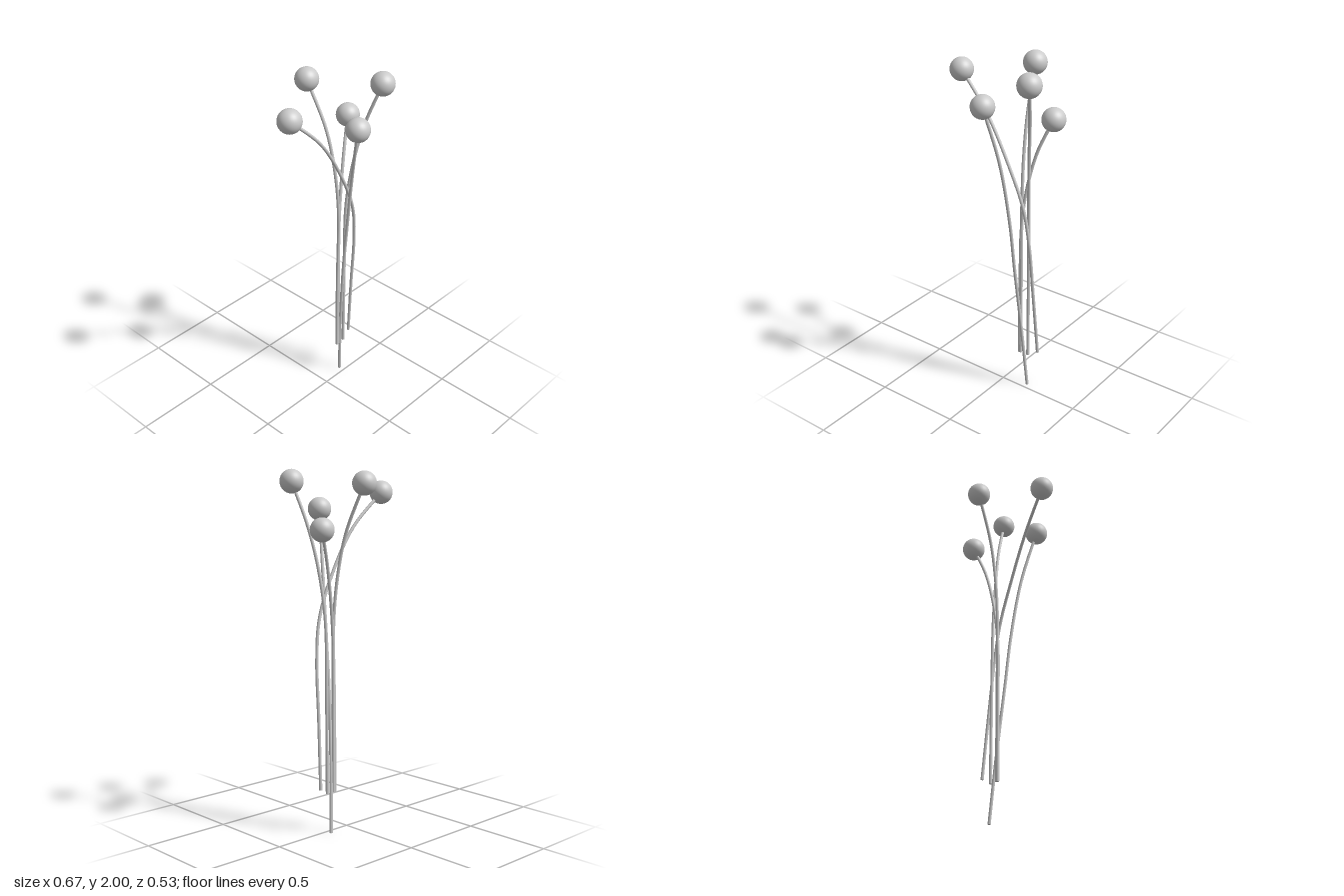
import * as THREE from 'three';

// Each stem runs from its foot through a few points to the centre of its berry
const STEMS = {
  left: [[0.165, 0.23, -0.018], [0.165, 0.8, -0.015], [0.166, 1.2, -0.008], [0.187, 1.48, 0.024], [0.222, 1.71, 0.07], [0.268, 1.94, 0.143]],
  lowerLeft: [[0.106, 0.23, -0.015], [0.107, 0.7, -0.015], [0.114, 1.05, -0.014], [0.137, 1.27, -0.024], [0.187, 1.5, -0.048], [0.26, 1.69, -0.088]],
  back: [[0.115, 0.23, -0.015], [0.115, 0.8, -0.015], [0.113, 1.2, -0.018], [0.104, 1.45, -0.042], [0.09, 1.67, -0.09], [0.06, 1.93, -0.198]],
  front: [[0.152, 0.004, -0.034], [0.126, 0.4, -0.006], [0.103, 0.8, 0.032], [0.093, 1.1, 0.065], [0.067, 1.46, 0.12], [0.018, 1.79, 0.198]],
  right: [[0.225, 0.265, -0.03], [0.21, 0.65, 0], [0.197, 0.98, 0.028], [0.165, 1.2, 0.042], [0.07, 1.43, 0.046], [-0.08, 1.685, 0.036], [-0.272, 1.88, 0.005]],
};
const STEM_RADIUS = 0.009;
const BERRY_RADIUS = 0.065;

export function createModel() {
  const group = new THREE.Group();
  group.name = 'berrySpray';
  const material = new THREE.MeshStandardMaterial({ color: 0xcccccc });
  const berryGeometry = new THREE.SphereGeometry(BERRY_RADIUS, 32, 20);
  const capGeometry = new THREE.CircleGeometry(STEM_RADIUS, 10);

  for (const [name, points] of Object.entries(STEMS)) {
    const sprig = new THREE.Group();
    sprig.name = name + 'Sprig';
    const curve = new THREE.CatmullRomCurve3(points.map((p) => new THREE.Vector3(...p)));

    // Curved stem
    const stem = new THREE.Mesh(new THREE.TubeGeometry(curve, 40, STEM_RADIUS, 10), material);
    stem.name = 'stem';

    // Flat cut at the foot of the stem
    const cut = new THREE.Mesh(capGeometry, material);
    cut.name = 'stemCut';
    cut.position.copy(curve.getPoint(0));
    cut.quaternion.setFromUnitVectors(new THREE.Vector3(0, 0, 1), curve.getTangent(0).negate());

    // Round berry at the tip
    const berry = new THREE.Mesh(berryGeometry, material);
    berry.name = 'berry';
    berry.position.copy(curve.getPoint(1));

    sprig.add(stem, cut, berry);
    group.add(sprig);
  }
  return group;
}
